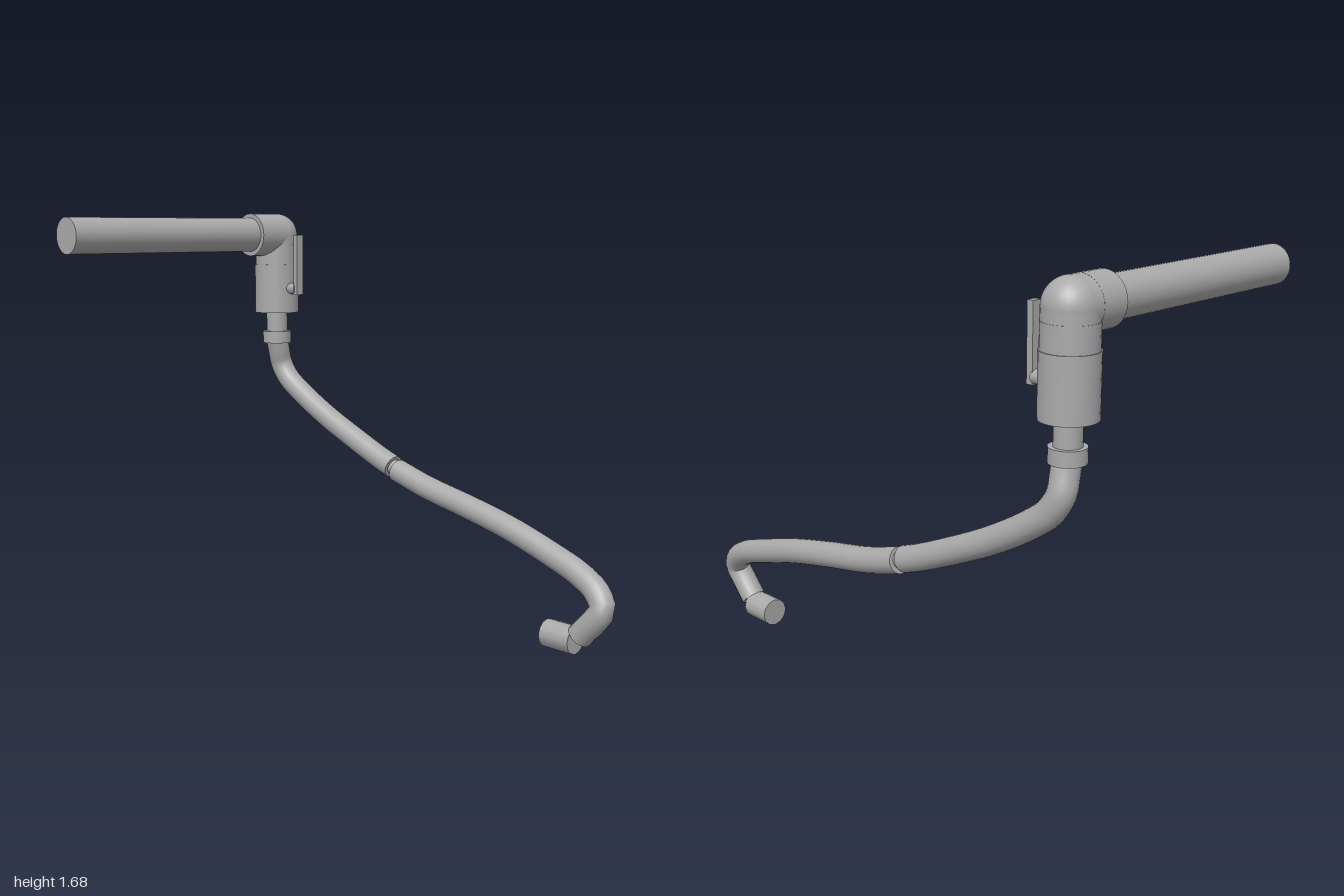
import * as THREE from 'three';

const V = (x, y, z) => new THREE.Vector3(x, y, z);

export function createModel() {
  const group = new THREE.Group();
  const metal = new THREE.MeshStandardMaterial({ color: 0xaaaaaa });
  metal.name = 'grey metal';

  const add = (name, geometry, parent = group) => {
    const mesh = new THREE.Mesh(geometry, metal);
    mesh.name = name;
    parent.add(mesh);
    return mesh;
  };

  // Closed cylinder running between two points
  const rod = (name, a, b, radius, sides = 32, parent = group) => {
    const dir = b.clone().sub(a);
    const mesh = add(name, new THREE.CylinderGeometry(radius, radius, dir.length(), sides), parent);
    mesh.position.copy(a).add(b).multiplyScalar(0.5);
    mesh.quaternion.setFromUnitVectors(V(0, 1, 0), dir.normalize());
    return mesh;
  };

  // Curved hose with a flat cap at each end
  const hose = (name, points, radius) => {
    const part = new THREE.Group();
    part.name = name;
    group.add(part);
    const curve = new THREE.CatmullRomCurve3(points, false, 'centripetal');
    add(name + 'Tube', new THREE.TubeGeometry(curve, 48, radius, 20), part);
    for (const t of [0, 1]) {
      const cap = add(name + 'Cap', new THREE.CircleGeometry(radius, 20), part);
      cap.position.copy(curve.getPointAt(t));
      cap.quaternion.setFromUnitVectors(V(0, 0, 1), curve.getTangentAt(t).multiplyScalar(t ? 1 : -1));
    }
  };

  const X = 0.497, Z = -0.898; // vertical axis of the valve

  // Supply pipe and elbow
  rod('supplyPipe', V(-0.62, 1.58, Z), V(0.36, 1.58, Z), 0.075);
  rod('elbowSideCollar', V(0.34, 1.58, Z), V(0.452, 1.58, Z), 0.095);
  rod('elbowSideCore', V(0.45, 1.58, Z), V(X, 1.58, Z), 0.0945);
  add('elbowBall', new THREE.SphereGeometry(0.095, 32, 20)).position.set(X, 1.58, Z);
  rod('elbowCore', V(X, 1.53, Z), V(X, 1.58, Z), 0.0945);
  rod('elbowLowerCollar', V(X, 1.44, Z), V(X, 1.535, Z), 0.096);

  // Valve body, neck and hose nut
  rod('valveBody', V(X, 1.225, Z), V(X, 1.445, Z), 0.1);
  rod('valveNeck', V(X, 1.12, Z), V(X, 1.23, Z), 0.048);
  rod('hoseNut', V(X, 1.083, Z), V(X, 1.137, Z), 0.065);

  // Lever on a short stem
  rod('leverStem', V(X, 1.336, -0.82), V(X, 1.336, -0.755), 0.025, 10);
  add('lever', new THREE.BoxGeometry(0.036, 0.27, 0.025)).position.set(X, 1.445, -0.748);

  // Hose in two lengths, joined by a slimmer coupling
  hose('upperHose', [
    V(X, 1.1, Z), V(0.51, 1.05, -0.9), V(0.528, 0.985, -0.902), V(0.537, 0.92, -0.865),
    V(0.545, 0.86, -0.79), V(0.554, 0.76, -0.62), V(0.561, 0.67, -0.43),
    V(0.564, 0.605, -0.28), V(0.564, 0.577, -0.203),
  ], 0.05);
  rod('hoseCoupling', V(0.564, 0.587, -0.23), V(0.564, 0.558, -0.15), 0.034, 20);
  hose('lowerHose', [
    V(0.564, 0.565, -0.178), V(0.563, 0.515, 0), V(0.558, 0.465, 0.25), V(0.552, 0.415, 0.47),
    V(0.543, 0.355, 0.67), V(0.53, 0.305, 0.82), V(0.515, 0.255, 0.91),
    V(0.5, 0.2, 0.947), V(0.494, 0.16, 0.925), V(0.492, 0.077, 0.853),
  ], 0.05);

  // Loose end nozzle
  rod('nozzle', V(0.495, 0.055, 0.7), V(0.495, 0.055, 0.835), 0.056, 12);

  return group;
}
